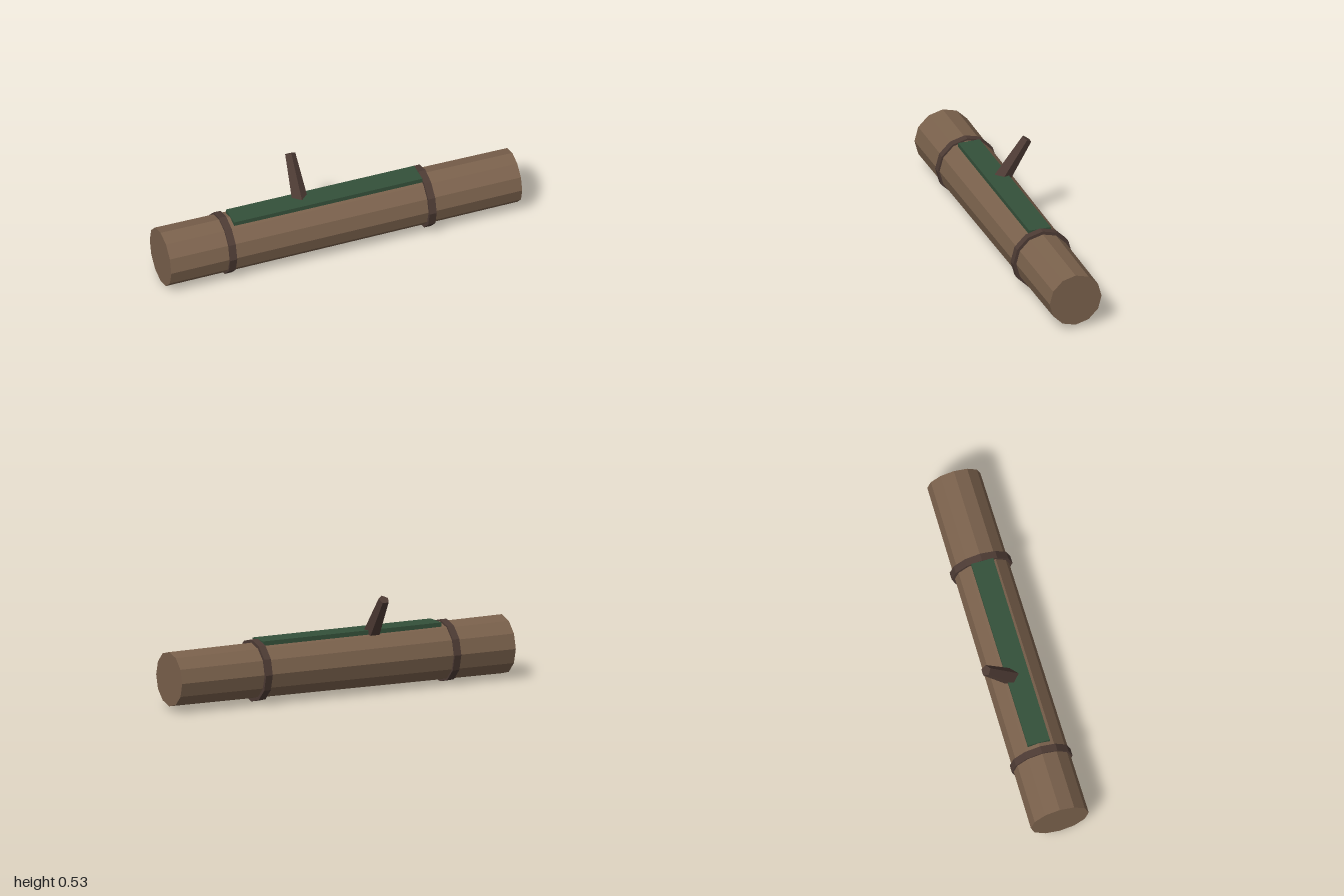
import * as THREE from 'three';

export function createModel() {
  const mat = (name, color) => {
    const m = new THREE.MeshStandardMaterial({ color, flatShading: true });
    m.name = name;
    return m;
  };
  const bark = mat('bark brown', 0x7a614c);
  const darkBark = mat('dark bark', 0x4d3b34);
  const moss = mat('moss green', 0x34503a);

  const model = new THREE.Group();
  model.name = 'fallenLog';

  // The whole log lies at a slight angle to the x axis
  const log = new THREE.Group();
  log.name = 'logAssembly';
  log.position.set(0.002, 0.168, -0.006);
  log.rotation.y = 0.3;
  model.add(log);

  const add = (name, geometry, material, x, y, z) => {
    const mesh = new THREE.Mesh(geometry, material);
    mesh.name = name;
    mesh.position.set(x, y, z);
    log.add(mesh);
    return mesh;
  };

  // Tapered twelve-sided trunk, thinner towards +x
  const trunk = new THREE.CylinderGeometry(0.147, 0.16, 2, 12).rotateZ(-Math.PI / 2);
  add('trunk', trunk, bark, 0, 0, 0);

  // Raised bark rings
  const ring = new THREE.CylinderGeometry(0.168, 0.168, 0.04, 12).rotateZ(-Math.PI / 2);
  for (const [name, x] of [['rightRing', -0.648], ['leftRing', 0.486]]) {
    add(name, ring, darkBark, x, 0, 0);
  }

  // Moss strip along the top
  add('mossStrip', new THREE.BoxGeometry(1.07, 0.024, 0.122), moss, -0.07, 0.152, 0);

  // Broken branch stub leaning backwards, rooted inside the trunk
  const stub = new THREE.CylinderGeometry(0.03, 0.055, 0.38, 5).translate(0, -0.19, 0);
  const branch = add('branchStub', stub, darkBark, -0.2, 0.347, -0.17);
  branch.rotation.x = -0.6;
  // Place the stub tip
  branch.position.set(-0.199, 0.347, -0.174);

  return model;
}
